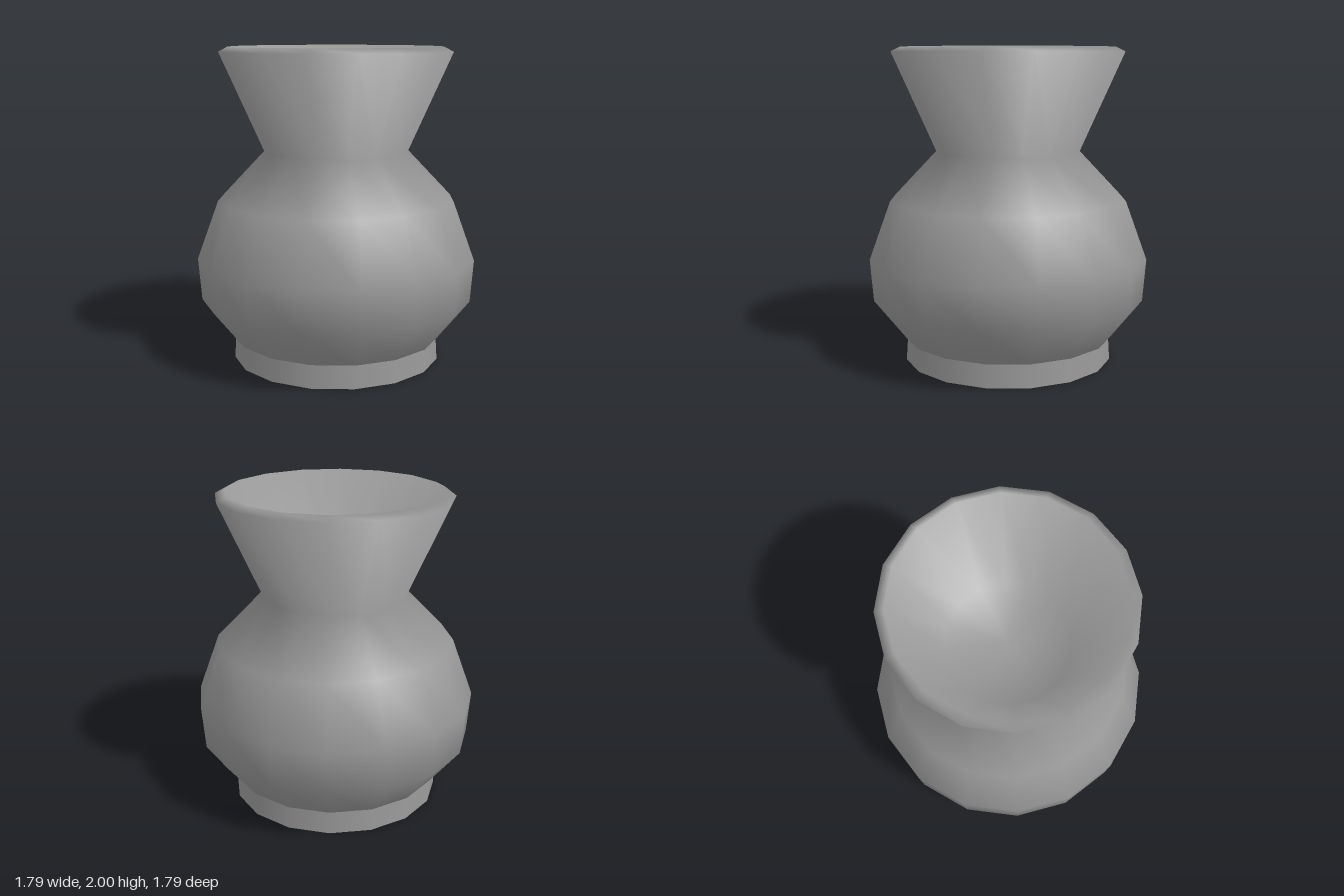
import * as THREE from 'three';

const SIDES = 16;

export function createModel() {
  const group = new THREE.Group();
  const material = new THREE.MeshStandardMaterial({ color: 0x989898 });

  // Turns a profile of [radius, height] points. Every point's normal is the
  // even average of its neighbouring segments, so the profile shades smoothly.
  function turned(name, profile) {
    const points = profile.map(([r, y]) => new THREE.Vector2(r, y));
    const geometry = new THREE.LatheGeometry(points, SIDES);
    const segments = points.slice(1).map((p, i) =>
      new THREE.Vector2(p.y - points[i].y, points[i].x - p.x).normalize());
    const normals = points.map((_, i) => {
      const before = segments[Math.max(i - 1, 0)];
      const after = segments[Math.min(i, segments.length - 1)];
      return before.clone().add(after).normalize();
    });
    for (let side = 0; side <= SIDES; side++) {
      const angle = side / SIDES * Math.PI * 2;
      normals.forEach((n, i) => geometry.attributes.normal.setXYZ(
        side * points.length + i, n.x * Math.sin(angle), n.y, n.x * Math.cos(angle)));
    }
    const mesh = new THREE.Mesh(geometry, material);
    mesh.name = name;
    group.add(mesh);
  }

  // Foot ring with closed underside
  turned('underside', [[0, 0], [0.67, 0]]);
  turned('foot', [[0.67, 0], [0.66, 0.15]]);
  turned('footLedge', [[0.66, 0.15], [0.675, 0.15]]);

  // Rounded belly, flared neck, bevelled rim, and funnel down to its floor
  turned('vessel', [
    [0.675, 0.15], [0.872, 0.4], [0.893, 0.67], [0.757, 1.04], [0.46, 1.35],
    [0.735, 1.97], [0.677, 2], [0.39, 1.37], [0, 1.37],
  ]);

  return group;
}
